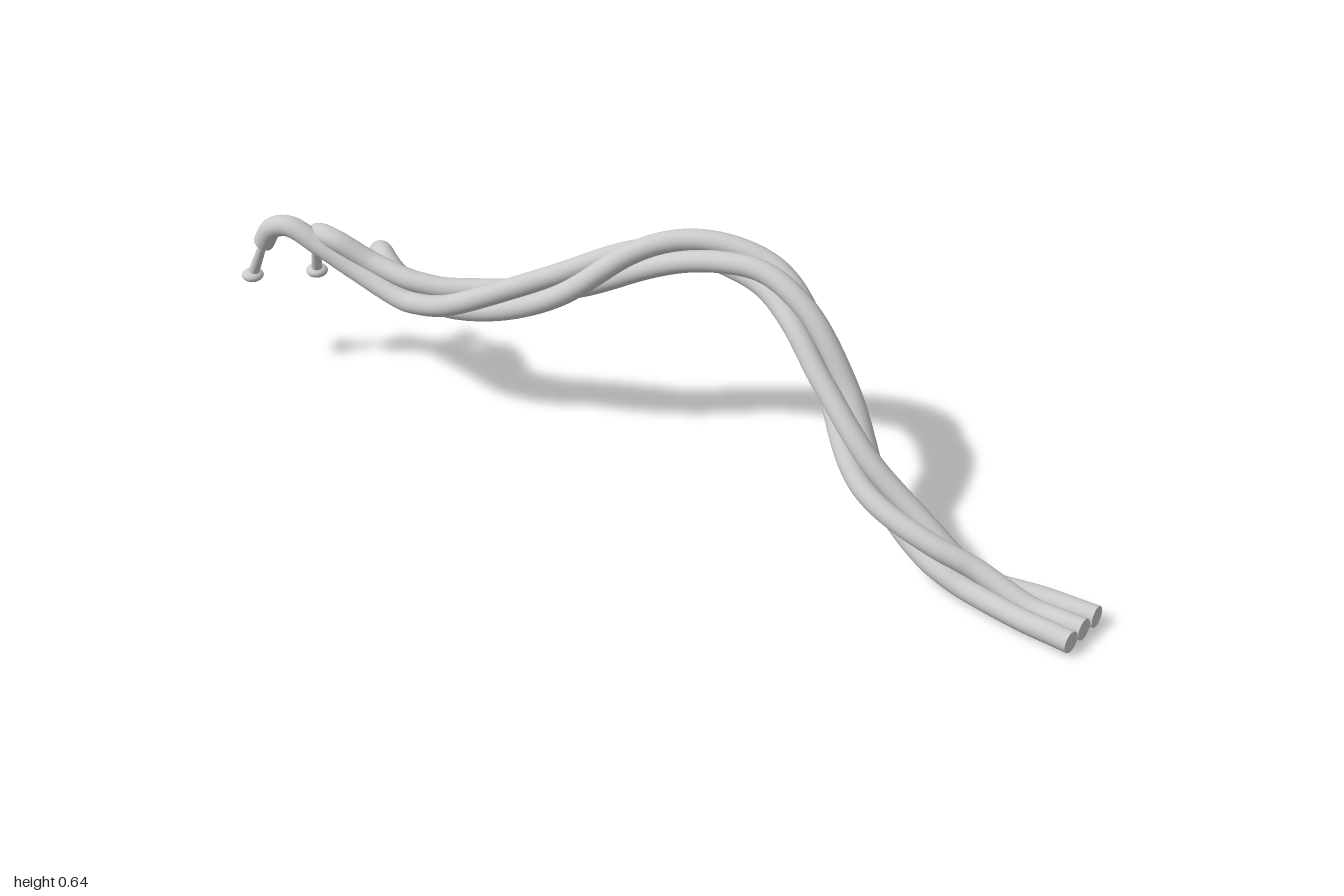
import * as THREE from 'three';

const V = (x, y, z) => new THREE.Vector3(x, y, z);
const UP = V(0, 1, 0);
const R = 0.028;       // cable radius
const TWIST_R = 0.032; // distance of each cable from the bundle axis

export function createModel() {
  const model = new THREE.Group();
  const material = new THREE.MeshStandardMaterial({ color: 0xcccccc });
  const add = (name, geometry) => {
    const mesh = new THREE.Mesh(geometry, material);
    mesh.name = name;
    model.add(mesh);
    return mesh;
  };

  // Axis of the twisted bundle, from the flat end to the pins
  const axis = new THREE.CatmullRomCurve3([
    V(0.7, 0.06, 0.52), V(0.62, 0.105, 0.45), V(0.5, 0.205, 0.3), V(0.43, 0.37, 0.13),
    V(0.37, 0.51, 0), V(0.3, 0.575, -0.1), V(0.2, 0.592, -0.18), V(0.1, 0.582, -0.24),
    V(0, 0.55, -0.28), V(-0.2, 0.44, -0.345), V(-0.4, 0.37, -0.425),
    V(-0.5, 0.352, -0.47), V(-0.57, 0.357, -0.52),
  ]);
  const turn = -Math.PI * 2 * 5 / 3;

  // Each cable: sideways place at the flat end, start angle, loose end, pin foot
  const cables = [
    { side: 1, angle: 330, foot: V(-0.8, 0.285, -0.775),
      loose: [V(-0.66, 0.41, -0.585), V(-0.75, 0.457, -0.63), V(-0.793, 0.455, -0.675), V(-0.8, 0.4, -0.725)] },
    { side: 0, angle: 90, foot: V(-0.635, 0.285, -0.775),
      loose: [V(-0.61, 0.395, -0.58), V(-0.63, 0.408, -0.635), V(-0.635, 0.38, -0.69)] },
    { side: -1, angle: 210, foot: V(-0.97, 0.285, -0.775),
      loose: [V(-0.7, 0.385, -0.59), V(-0.79, 0.435, -0.645), V(-0.865, 0.473, -0.69),
        V(-0.91, 0.455, -0.72), V(-0.935, 0.4, -0.745)] },
  ];
  const out = V(0.72, 0, 0.69).normalize();
  const across = V(-out.z, 0, out.x);
  const end = V(0.93, 0.036, 0.73);

  cables.forEach(({ side, angle, loose, foot }, k) => {
    // Straight parallel run at the flat end
    const points = [0, 0.06, 0.14].map((back) => end.clone()
      .addScaledVector(out, -back).addScaledVector(across, side * (0.062 - back * 0.06)));

    // Helix around the axis
    const steps = 40;
    for (let i = 0; i <= steps; i++) {
      const u = i / steps;
      const T = axis.getTangentAt(u);
      const N = UP.clone().cross(T).normalize();
      const B = T.clone().cross(N);
      const a = THREE.MathUtils.degToRad(angle) + turn * u;
      points.push(axis.getPointAt(u)
        .addScaledVector(N, TWIST_R * Math.cos(a))
        .addScaledVector(B, TWIST_R * Math.sin(a)));
    }
    points.push(...loose);
    const path = new THREE.CatmullRomCurve3(points, false, 'centripetal');
    add(`cable${k + 1}`, new THREE.TubeGeometry(path, 220, R, 20));

    // Cap on the flat end
    const cap = add(`cableEndCap${k + 1}`, new THREE.CircleGeometry(R, 20));
    cap.position.copy(points[0]);
    cap.quaternion.setFromUnitVectors(V(0, 0, 1), path.getTangent(0).negate());

    // Pin reaching from the loose end to a flattened foot
    const tip = loose[loose.length - 1];
    const dir = foot.clone().sub(tip);
    const start = tip.clone().addScaledVector(dir, 0.06);
    const pin = add(`pin${k + 1}`, new THREE.CylinderGeometry(0.011, 0.015, start.distanceTo(foot), 16));
    pin.position.copy(start).add(foot).multiplyScalar(0.5);
    pin.quaternion.setFromUnitVectors(UP, dir.clone().normalize().negate());
    const pad = add(`pinFoot${k + 1}`, new THREE.SphereGeometry(0.029, 24, 14));
    pad.scale.y = 0.55;
    pad.position.copy(foot);
  });
  return model;
}
